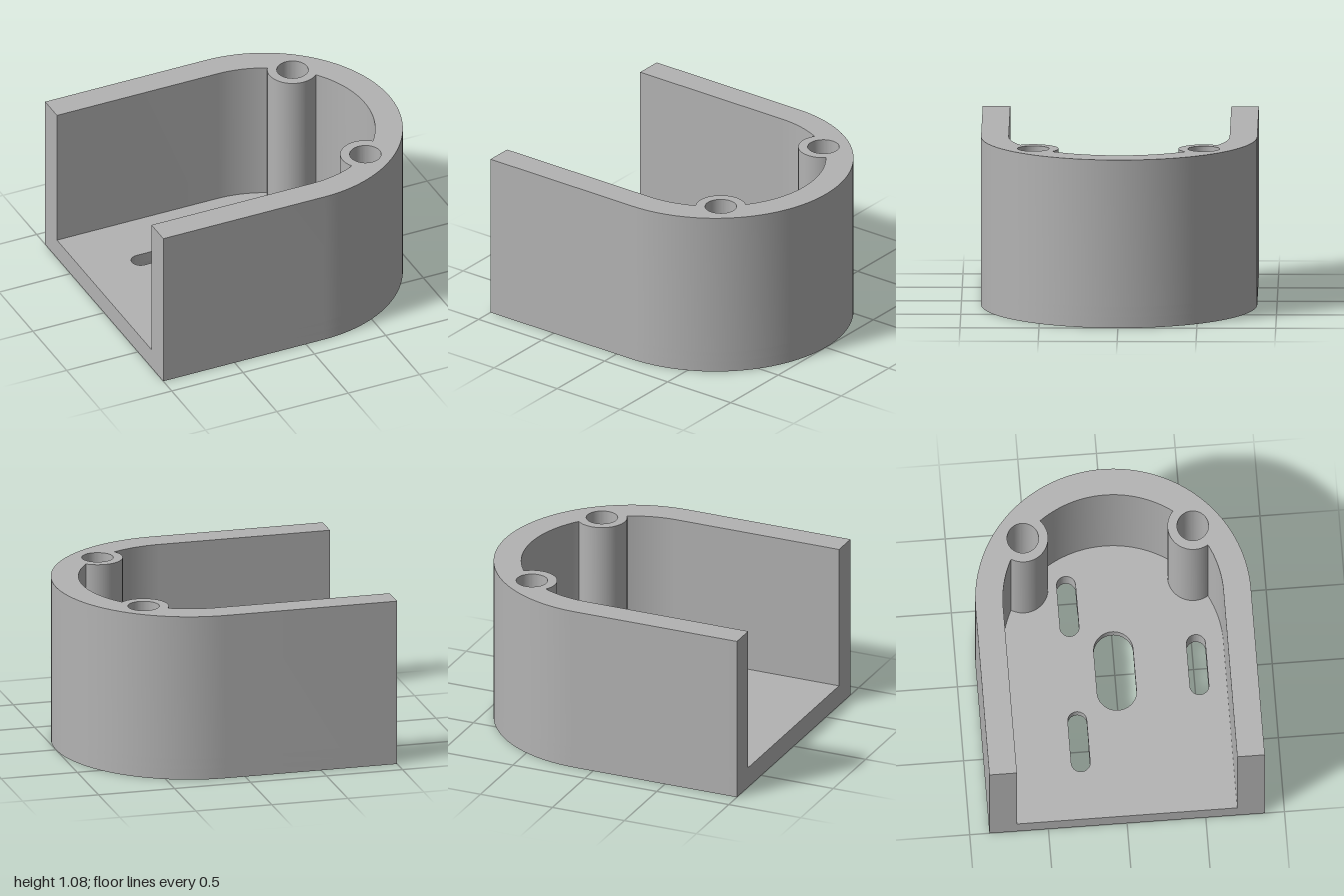
import * as THREE from 'three';
import { toCreasedNormals } from 'three/addons/utils/BufferGeometryUtils.js';

const PI = Math.PI;
const HEIGHT = 1.08, FLOOR = 0.135, RECESS = 0.07;
const CX = 0.125, OUTER = 0.875, INNER = 0.7; // rounded end
const BOSS = { x: 0.575, z: 0.54, r: 0.16, hole: 0.1 };

// Plan shapes are drawn in (x, z) and extruded between two heights.
function slab(name, shape, y0, y1, material) {
  const g = new THREE.ExtrudeGeometry(shape, { depth: y1 - y0, bevelEnabled: false, curveSegments: 40 });
  g.rotateX(PI / 2);
  g.translate(0, y1, 0);
  const mesh = new THREE.Mesh(toCreasedNormals(g, 0.5), material);
  mesh.name = name;
  return mesh;
}

function outline() {
  const s = new THREE.Shape();
  s.moveTo(-1, -OUTER);
  s.lineTo(CX, -OUTER);
  s.absarc(CX, 0, OUTER, -PI / 2, PI / 2, false);
  s.lineTo(-1, OUTER);
  return s;
}

// Slot with rounded ends, from x0 to x1
function slot(x0, x1, z, r) {
  const p = new THREE.Path();
  p.absarc(x1 - r, z, r, -PI / 2, PI / 2, false);
  p.absarc(x0 + r, z, r, PI / 2, 1.5 * PI, false);
  p.closePath();
  return p;
}

// Underside recess, merged with the outer ends of the two slots it cuts
function recess() {
  const c = -0.02, half = 0.14, R = 0.37, z = -0.265, r = 0.06;
  const a1 = Math.asin((-z - r) / R), a2 = Math.asin((-z + r) / R);
  const p = new THREE.Path();
  p.absarc(c + half, 0, R, -a1, PI / 2, false);
  p.absarc(c - half, 0, R, PI / 2, PI + a1, false);
  p.absarc(-0.62, z, r, PI / 2, 1.5 * PI, false);
  p.absarc(c - half, 0, R, PI + a2, 1.5 * PI, false);
  p.absarc(c + half, 0, R, 1.5 * PI, 2 * PI - a2, false);
  p.absarc(0.58, z, r, -PI / 2, PI / 2, false);
  p.closePath();
  return p;
}

// U-shaped wall with two screw bosses bulging inwards
function wallShape() {
  const dx = BOSS.x - CX, d = Math.hypot(dx, BOSS.z);
  const phi = Math.atan2(BOSS.z, dx);
  const delta = Math.acos((INNER ** 2 + d ** 2 - BOSS.r ** 2) / (2 * INNER * d));
  const s = outline();
  s.lineTo(-1, INNER);
  let from = PI / 2;
  for (const side of [1, -1]) {
    const mid = side * phi, bz = side * BOSS.z;
    const angleAt = (a) => Math.atan2(INNER * Math.sin(a) - bz, CX + INNER * Math.cos(a) - BOSS.x);
    s.absarc(CX, 0, INNER, from, mid + delta, true);
    const start = angleAt(mid + delta);
    let end = angleAt(mid - delta);
    while (end < start) end += 2 * PI;
    s.absarc(BOSS.x, bz, BOSS.r, start, end, false);
    from = mid - delta;
    const hole = new THREE.Path();
    hole.absarc(BOSS.x, bz, BOSS.hole, 0, 2 * PI, false);
    s.holes.push(hole);
  }
  s.absarc(CX, 0, INNER, from, -PI / 2, true);
  s.lineTo(-1, -INNER);
  s.closePath();
  return s;
}

export function createModel() {
  const grey = new THREE.MeshStandardMaterial({ color: 0xb3b3b3 });
  grey.name = 'grey';
  const model = new THREE.Group();
  model.name = 'openHousing';

  const sideSlot = () => slot(-0.22, 0.185, 0.525, 0.06);

  // Lower floor layer with the recess
  const lower = outline();
  lower.holes.push(recess(), sideSlot());
  model.add(slab('lowerFloor', lower, 0, RECESS, grey));

  // Upper floor layer with the four slots
  const upper = outline();
  upper.holes.push(
    slot(-0.285, 0.245, 0, 0.125),
    slot(-0.68, -0.275, -0.265, 0.06),
    slot(0.235, 0.64, -0.265, 0.06),
    sideSlot()
  );
  model.add(slab('upperFloor', upper, RECESS, FLOOR, grey));

  // Wall and screw bosses
  model.add(slab('wallWithBosses', wallShape(), FLOOR, HEIGHT, grey));
  return model;
}
